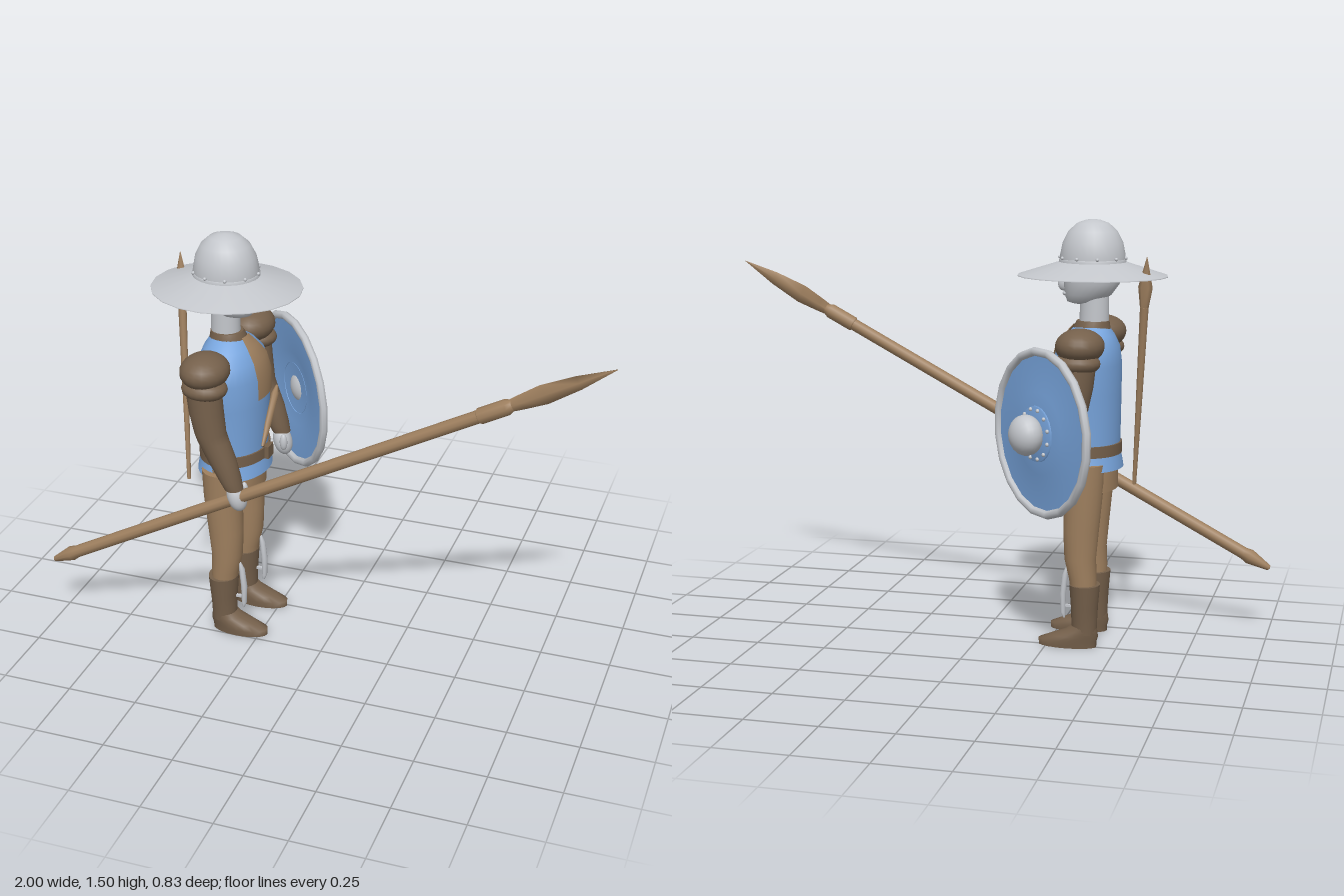
import * as THREE from 'three';

const mat = (name, color, side = THREE.FrontSide) =>
  Object.assign(new THREE.MeshStandardMaterial({ color, side }), { name });
const V = (x, y, z) => new THREE.Vector3(x, y, z);
const UP = V(0, 1, 0);

export function createModel() {
  const blue = mat('blue cloth', 0x78a5dd, THREE.DoubleSide);
  const tan = mat('tan leather', 0x9f805f, THREE.DoubleSide);
  const brown = mat('dark leather', 0x75604b);
  const steel = mat('pale steel', 0xc3c6cb, THREE.DoubleSide);

  const root = new THREE.Group();
  root.name = 'spearman';
  const body = new THREE.Group();
  body.name = 'body';
  body.position.set(-0.38, 0, 0.107);
  root.add(body);

  const add = (parent, name, geo, material, x = 0, y = 0, z = 0) => {
    const m = new THREE.Mesh(geo, material);
    m.name = name;
    m.position.set(x, y, z);
    parent.add(m);
    return m;
  };

  // Skin over rising elliptical rings [y, cx, rx, rz, cz]; an arc gives an open panel
  const loft = (rings, n = 24, arc = Math.PI * 2, mid = 0) => {
    const pos = [], idx = [], closed = arc > 6.28, w = n + 1;
    const ring = ([y, cx, rx, rz, cz = 0]) => {
      for (let j = 0; j <= n; j++) {
        const a = mid - arc / 2 + (arc * j) / n;
        pos.push(cx + rx * Math.cos(a), y, cz + rz * Math.sin(a));
      }
    };
    rings.forEach(ring);
    for (let i = 0; i < rings.length - 1; i++)
      for (let j = 0; j < n; j++) {
        const k = closed ? (j + 1) % n : j + 1;
        const a = i * w + j, b = i * w + k;
        idx.push(a, a + w, b, b, a + w, b + w);
      }
    if (closed)
      [rings[0], rings[rings.length - 1]].forEach((r, top) => {
        const s = pos.length / 3;
        ring(r);
        pos.push(r[1], r[0], r[4] || 0);
        for (let j = 0; j < n; j++)
          idx.push(s + w, ...(top ? [s + j + 1, s + j] : [s + j, s + j + 1]));
      });
    const g = new THREE.BufferGeometry();
    g.setAttribute('position', new THREE.Float32BufferAttribute(pos, 3));
    g.setIndex(idx);
    g.computeVertexNormals();
    return g;
  };
  const lathe = (pts, n = 24) => new THREE.LatheGeometry(pts.map(p => new THREE.Vector2(...p)), n);
  const ball = (rx, ry, rz) => new THREE.SphereGeometry(1, 20, 14).scale(rx, ry, rz);

  // Tunic, collar, belt and skirt
  const torso = [[0.68, 0.012, 0.115, 0.14], [0.75, 0.012, 0.116, 0.141], [0.9, 0.015, 0.12, 0.152],
    [1.0, 0.015, 0.12, 0.164], [1.06, 0.01, 0.108, 0.15], [1.1, 0.005, 0.085, 0.11], [1.13, 0, 0.06, 0.062]];
  add(body, 'tunic', loft(torso, 32), blue);
  add(body, 'tunicHem', loft([[0.635, 0.012, 0.128, 0.157], [0.66, 0.012, 0.124, 0.148], [0.7, 0.012, 0.116, 0.141]], 32), blue);
  add(body, 'chestPanel', loft([[0.925, 0.015, 0.126, 0.158], [1.0, 0.015, 0.126, 0.167],
    [1.06, 0.01, 0.115, 0.155], [1.1, 0.005, 0.092, 0.115], [1.135, 0, 0.066, 0.068]], 12, 0.8), tan);
  add(body, 'collar', loft([[1.1, 0, 0.07, 0.068], [1.13, 0, 0.064, 0.062], [1.15, -0.004, 0.057, 0.055]]), brown);
  add(body, 'belt', loft([[0.685, 0.012, 0.122, 0.146], [0.725, 0.012, 0.122, 0.146]], 32), brown);
  add(body, 'buckle', new THREE.BoxGeometry(0.02, 0.046, 0.046), brown, 0.138, 0.705, 0);
  add(body, 'hips', loft([[0.55, 0.005, 0.06, 0.11], [0.58, 0.005, 0.075, 0.155], [0.67, 0.01, 0.09, 0.15]]), tan);
  for (const [name, mid] of [['frontSkirt', 0], ['backSkirt', Math.PI]])
    add(body, name, loft([[0.56, 0.008, 0.106, 0.15], [0.66, 0.01, 0.105, 0.135]], 12, 2.1, mid), tan);
  const dagger = add(body, 'dagger', loft([[-0.112, 0, 0.006, 0.008], [-0.03, 0, 0.012, 0.014],
    [0.08, 0, 0.013, 0.017], [0.112, 0, 0.004, 0.004]], 8), tan, 0.145, 0.84, -0.004);
  dagger.rotation.x = -Math.atan2(0.145, 0.17);

  // Neck and head, facing +x
  add(body, 'neck', loft([[1.12, -0.008, 0.052, 0.048], [1.25, -0.008, 0.05, 0.047]]), steel);
  add(body, 'head', loft([[1.208, 0.035, 0.03, 0.025], [1.215, 0.03, 0.058, 0.045], [1.24, 0.015, 0.082, 0.066],
    [1.28, 0.002, 0.098, 0.081], [1.33, 0, 0.102, 0.086], [1.38, 0, 0.1, 0.085]]), steel);
  add(body, 'nose', ball(0.022, 0.025, 0.014), steel, 0.1, 1.275, 0);
  add(body, 'mouth', ball(0.014, 0.01, 0.03), steel, 0.09, 1.243, 0);

  // Wide-brimmed helmet
  const dome = add(body, 'helmetDome', lathe([[0.112, 1.34], [0.114, 1.375], [0.105, 1.42], [0.085, 1.46],
    [0.055, 1.487], [0.025, 1.498], [0, 1.5]], 28), steel);
  dome.scale.z = 0.92;
  const brim = add(body, 'helmetBrim', lathe([[0.25, 1.304], [0.25, 1.308], [0.105, 1.356]], 20), steel);
  brim.scale.set(1.05, 1, 0.945);
  const band = add(body, 'helmetBand', lathe([[0.117, 1.348], [0.117, 1.362], [0.112, 1.364]], 28), steel);
  band.scale.z = 0.92;
  for (let i = 0; i < 10; i++) {
    const a = (i / 10) * Math.PI * 2;
    add(body, 'helmetRivet', ball(0.006, 0.006, 0.006), steel, 0.116 * Math.cos(a), 1.368, 0.107 * Math.sin(a));
  }

  // Arms and legs, mirrored across the body
  for (const s of [1, -1]) {
    const side = s > 0 ? 'spear' : 'shield';
    const z = 0.231 * s;
    add(body, side + 'Pauldron', ball(0.084, 0.06, 0.096), brown, 0, 1.086, 0.211 * s);
    add(body, side + 'PauldronLowerPlate', ball(0.08, 0.04, 0.068), brown, 0.005, 1.03, z);
    add(body, side + 'Arm', loft([[0.665, 0.1, 0.032, 0.034, z], [0.7, 0.088, 0.038, 0.042, z],
      [0.77, 0.06, 0.05, 0.046, z], [0.84, 0.03, 0.055, 0.05, z], [0.87, 0.02, 0.055, 0.053, z],
      [0.95, 0.008, 0.06, 0.057, z], [1.04, 0, 0.062, 0.058, z]], 20), brown);
    const hand = add(body, side + 'Hand', ball(0.034, 0.056, 0.036), steel, 0.107, 0.632, z - 0.008 * s);
    hand.rotation.z = 0.25;
    add(body, side + 'Thumb', ball(0.014, 0.032, 0.013), steel, 0.122, 0.64, z - 0.04 * s);

    const lz = 0.102 * s;
    add(body, side + 'Leg', loft([[0.15, -0.004, 0.042, 0.045, lz], [0.25, 0.002, 0.049, 0.052, lz],
      [0.32, 0.012, 0.056, 0.055, lz], [0.42, 0.01, 0.063, 0.06, lz], [0.55, 0.004, 0.069, 0.067, lz],
      [0.66, 0.005, 0.074, 0.07, lz]], 20), tan);
    add(body, side + 'Boot', loft([[0.05, -0.005, 0.045, 0.044, lz], [0.1, -0.005, 0.046, 0.047, lz],
      [0.15, -0.005, 0.048, 0.054, lz], [0.228, -0.005, 0.054, 0.062, lz]], 20), brown);
    add(body, side + 'Foot', loft([[0, 0.055, 0.104, 0.045, lz], [0.022, 0.055, 0.105, 0.048, lz],
      [0.04, 0.03, 0.085, 0.047, lz], [0.06, 0.005, 0.057, 0.046, lz], [0.08, -0.005, 0.044, 0.044, lz]], 20), brown);
    add(body, side + 'ShinBlade', loft([[0.1, 0.068, 0.004, 0.005, lz], [0.12, 0.072, 0.009, 0.011, lz],
      [0.19, 0.073, 0.011, 0.013, lz], [0.26, 0.066, 0.01, 0.012, lz], [0.285, 0.06, 0.004, 0.005, lz]], 12), steel);
    add(body, side + 'ShinClasp', new THREE.BoxGeometry(0.06, 0.008, 0.012), steel, 0.045, 0.145, lz);
  }

  // Spear held in the right hand, sloping up towards the front of the figure
  const spear = new THREE.Group();
  spear.name = 'spear';
  spear.position.set(0, 0.7725, 0.335);
  spear.rotation.z = -Math.atan2(2, 1.065);
  root.add(spear);
  add(spear, 'spearShaft', lathe([[0, -1.133], [0.01, -1.13], [0.027, -1.05], [0.022, -1.025], [0.022, 0.65]], 10), tan);
  add(spear, 'spearSocket', lathe([[0.02, 0.645], [0.027, 0.65], [0.027, 0.75], [0.018, 0.77]], 10), tan);
  add(spear, 'spearBlade', loft([[0.74, 0, 0.018, 0.016], [0.8, 0, 0.026, 0.01], [0.88, 0, 0.034, 0.008],
    [1.0, 0, 0.024, 0.006], [1.133, 0, 0.001, 0.001]], 4), tan);

  // Javelin slung across the back
  const low = V(-0.53, 0.565, 0.155), high = V(-0.582, 1.38, 0.03);
  const javelin = new THREE.Group();
  javelin.name = 'javelin';
  javelin.position.copy(low);
  javelin.quaternion.setFromUnitVectors(UP, high.clone().sub(low).normalize());
  root.add(javelin);
  add(javelin, 'javelinShaft', loft([[0, 0, 0.007, 0.007], [0.3, 0, 0.011, 0.011], [0.65, 0, 0.015, 0.015]], 10), tan);
  add(javelin, 'javelinHead', loft([[0.64, 0, 0.014, 0.014], [0.72, 0, 0.025, 0.016], [0.826, 0, 0.001, 0.001]], 6), tan);

  // Round shield, built along its axis and turned outward
  const shield = new THREE.Group();
  shield.name = 'shield';
  shield.position.set(-0.27, 0.8, -0.203);
  shield.quaternion.setFromUnitVectors(UP, V(1, 0, -1).normalize());
  root.add(shield);
  add(shield, 'shieldFace', lathe([[0.282, 0], [0.22, 0.002], [0.14, 0.01], [0.095, 0.018], [0, 0.02]], 40), blue);
  add(shield, 'shieldRim', new THREE.TorusGeometry(0.277, 0.015, 8, 20).rotateX(Math.PI / 2), steel);
  add(shield, 'shieldBoss', ball(0.07, 0.055, 0.07), steel, 0, 0.06, 0);
  add(shield, 'bossFlange', lathe([[0.096, 0.016], [0.094, 0.025], [0.04, 0.03]], 28), blue);
  for (let i = 0; i < 12; i++) {
    const a = (i / 12) * Math.PI * 2;
    add(shield, 'shieldRivet', ball(0.007, 0.006, 0.007), steel, 0.085 * Math.cos(a), 0.028, 0.085 * Math.sin(a));
  }
  return root;
}
